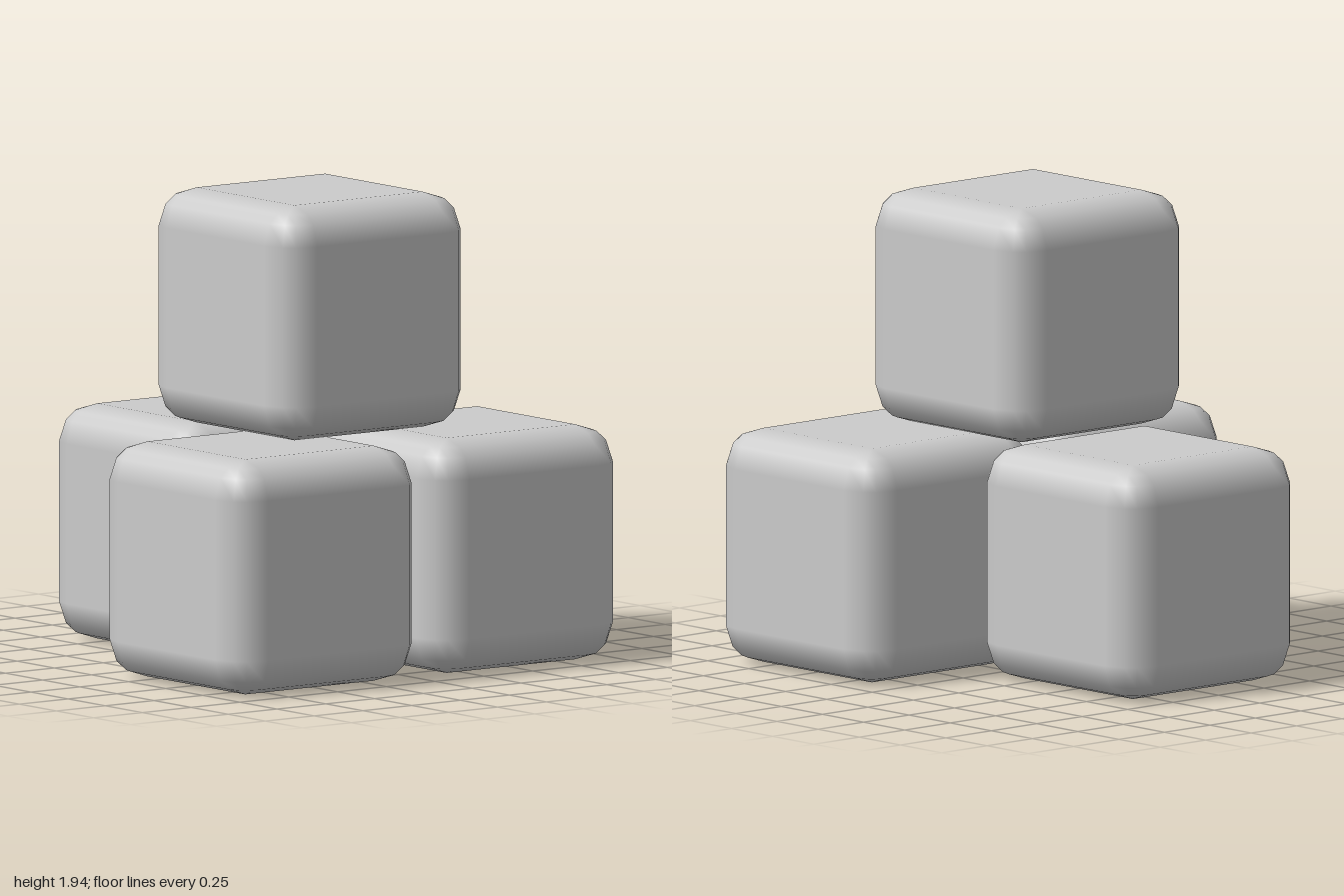
import * as THREE from 'three';

const SIZE = 0.968;
const RADIUS = 0.155;

// Rounded cube: a sphere whose eight octants are pushed apart to the cube's corners
function roundedCube(size, r) {
  const arc = [0, 35, 55, 90].map(THREE.MathUtils.degToRad);
  const geo = new THREE.SphereGeometry(1, 16, 9);
  const pos = geo.attributes.position, nor = geo.attributes.normal;
  const inner = size / 2 - r;
  const n = new THREE.Vector3();
  for (let iy = 0; iy <= 9; iy++) {
    const up = iy < 5 ? 1 : -1;
    const row = up > 0 ? iy : 9 - iy; // 0 = centre of the flat cap
    for (let ix = 0; ix <= 16; ix++) {
      const i = iy * 17 + ix;
      if (row === 0) {
        pos.setXYZ(i, 0, up * size / 2, 0);
        nor.setXYZ(i, 0, up, 0);
        continue;
      }
      const lat = arc[4 - row];
      const quarter = Math.floor((ix % 16) / 4);
      const lon = quarter * Math.PI / 2 + arc[ix % 4];
      const mid = (quarter + 0.5) * Math.PI / 2;
      n.set(-Math.cos(lon) * Math.cos(lat), up * Math.sin(lat), Math.sin(lon) * Math.cos(lat));
      nor.setXYZ(i, n.x, n.y, n.z);
      pos.setXYZ(i,
        n.x * r - Math.sign(Math.cos(mid)) * inner,
        n.y * r + up * inner,
        n.z * r + Math.sign(Math.sin(mid)) * inner);
    }
  }
  return geo;
}

export function createModel() {
  const group = new THREE.Group();
  group.name = 'stackedCubes';
  const material = new THREE.MeshStandardMaterial({ color: 0xcccccc });
  const geometry = roundedCube(SIZE, RADIUS);

  // Three cubes on the ground and one resting on top
  const cubes = [
    ['rightCube', -0.503, 0.486, 0.01],
    ['leftFrontCube', 0.503, 0.486, 0.516],
    ['leftBackCube', 0.503, 0.486, -0.516],
    ['topCube', 0.195, 1.456, 0.03],
  ];
  for (const [name, x, y, z] of cubes) {
    const cube = new THREE.Mesh(geometry, material);
    cube.name = name;
    cube.position.set(x, y, z);
    group.add(cube);
  }
  return group;
}
